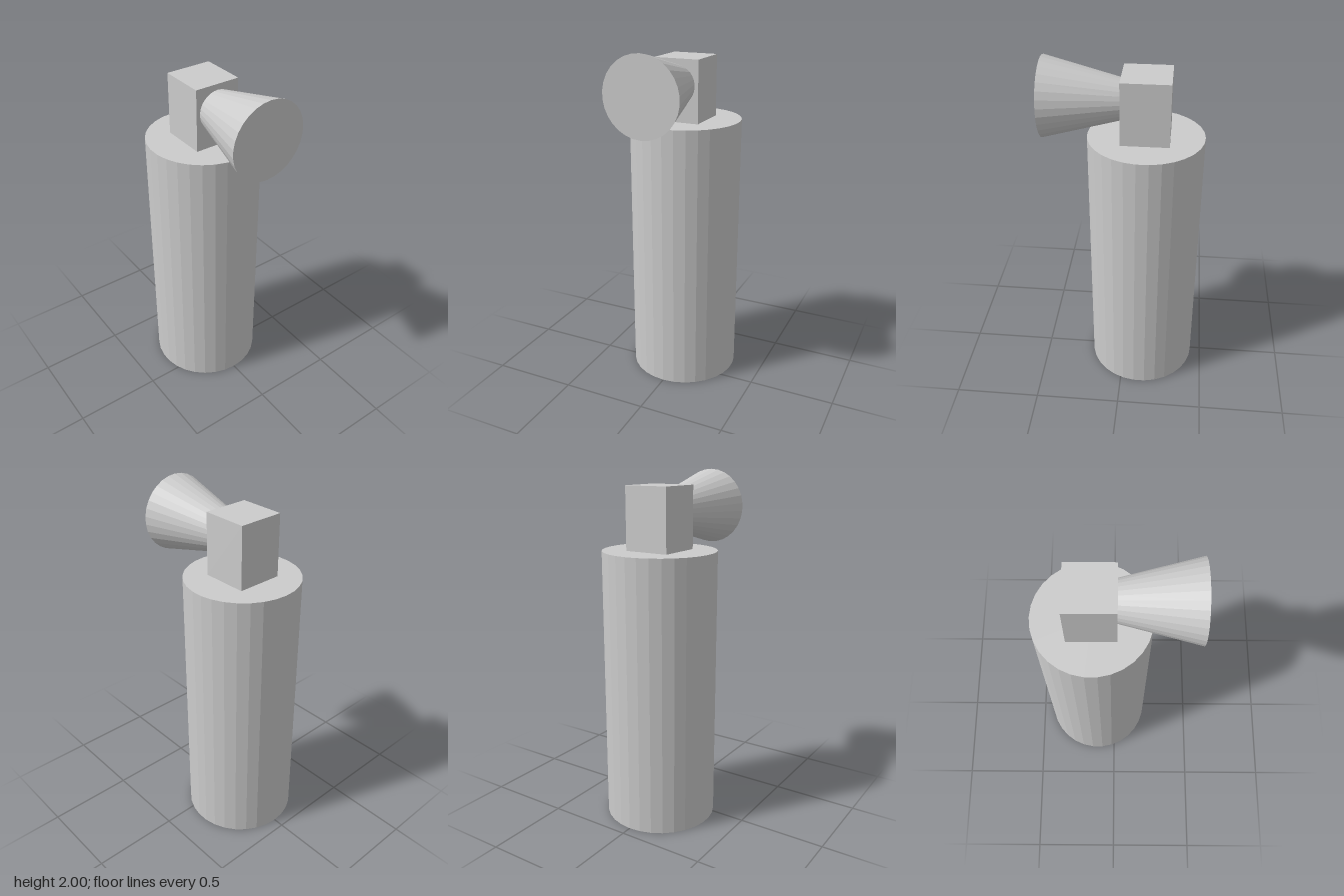
import * as THREE from 'three';

export function createModel() {
  const group = new THREE.Group();
  const material = new THREE.MeshStandardMaterial({ color: 0xcccccc, flatShading: true });
  const sides = 30;
  const axisX = -0.116; // upright axis of body and head

  const add = (name, geometry, x, y) => {
    const mesh = new THREE.Mesh(geometry, material);
    mesh.name = name;
    mesh.position.set(x, y, 0);
    group.add(mesh);
    return mesh;
  };

  // Tall cylindrical body, turned so that an edge points along x
  const bodyHeight = 1.576;
  const body = new THREE.CylinderGeometry(0.321, 0.321, bodyHeight, sides).rotateY(Math.PI / 2);
  add('body', body, axisX, bodyHeight / 2);

  // Square head block on top
  const headWidth = 0.264, headHeight = 0.35;
  add('head', new THREE.BoxGeometry(headWidth, headHeight, headWidth), axisX, bodyHeight + headHeight / 2);

  // Closed horn widening towards +x from the side of the head
  const hornStart = axisX + headWidth / 2, hornEnd = 0.435;
  const horn = new THREE.CylinderGeometry(0.111, 0.217, hornEnd - hornStart, sides)
    .rotateY(Math.PI / 2)
    .rotateZ(Math.PI / 2);
  add('horn', horn, (hornStart + hornEnd) / 2, 1.783);

  return group;
}
